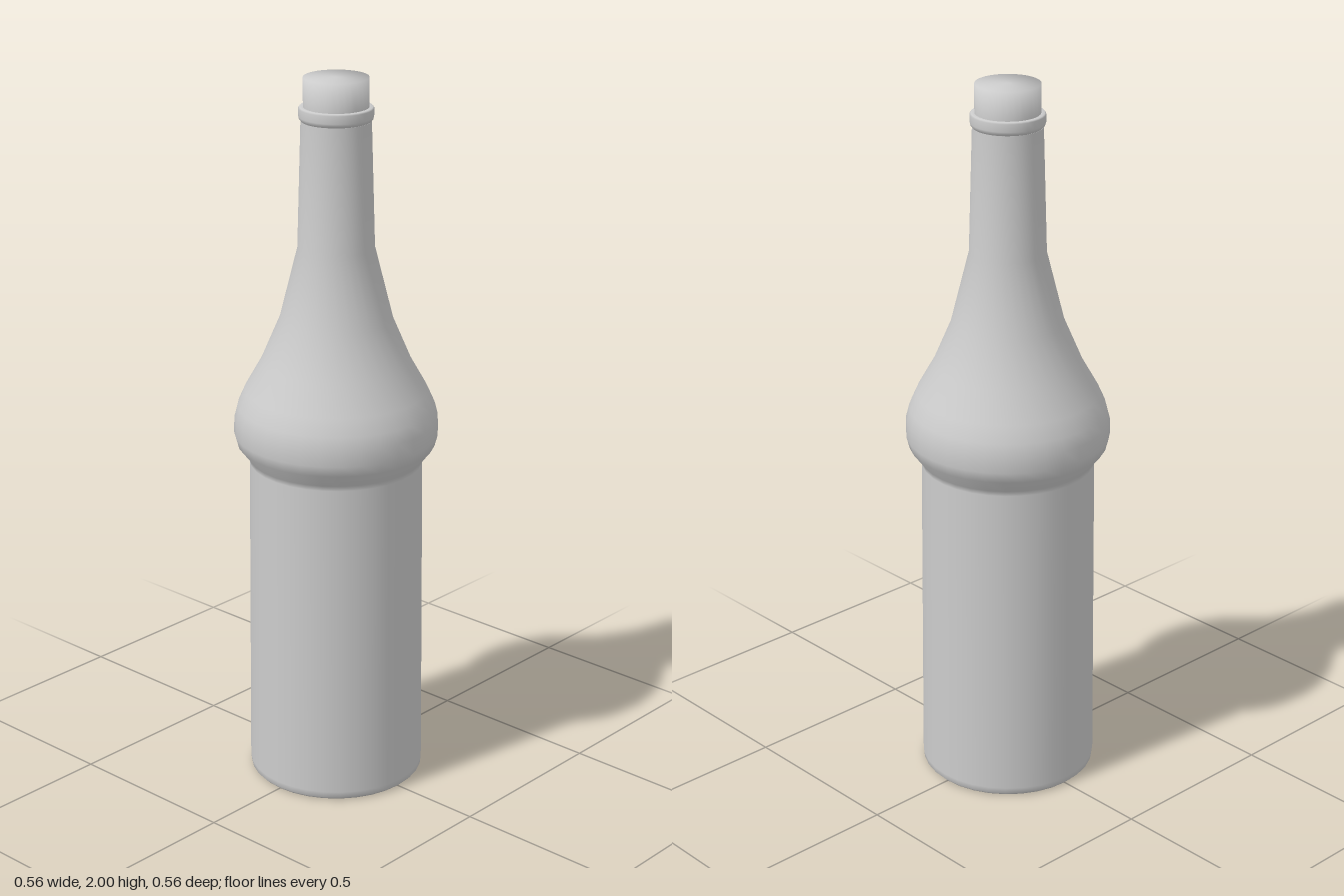
import * as THREE from 'three';

const SEGMENTS = 32;

// Turn a [radius, height] profile (bottom to top) into a smooth solid.
function turned(name, profile) {
  const points = profile.map(([r, y]) => new THREE.Vector2(r, y));
  const geometry = new THREE.LatheGeometry(points, SEGMENTS);
  const mesh = new THREE.Mesh(
    geometry,
    new THREE.MeshStandardMaterial({ color: 0xcccccc, side: THREE.DoubleSide })
  );
  mesh.name = name;
  return mesh;
}

export function createModel() {
  const bottle = new THREE.Group();
  bottle.name = 'bottle';

  // Base, straight body, bulging shoulder and tapering neck
  bottle.add(turned('bottleBody', [
    [0, 0], [0.235, 0], [0.243, 0.008], [0.245, 0.025],
    [0.238, 0.93], [0.241, 0.945],
    [0.272, 0.985], [0.28, 1.015], [0.279, 1.06], [0.27, 1.095],
    [0.25, 1.14], [0.205, 1.22], [0.154, 1.34],
    [0.104, 1.54], [0.094, 1.885],
  ]));

  // Raised ring around the mouth
  bottle.add(turned('mouthRing', [
    [0.093, 1.885], [0.098, 1.89], [0.1, 1.897],
    [0.1, 1.918], [0.097, 1.922], [0.0875, 1.922],
  ]));

  // Stopper closing the mouth
  bottle.add(turned('stopper', [
    [0.0875, 1.915], [0.0875, 2], [0, 2],
  ]));

  return bottle;
}
